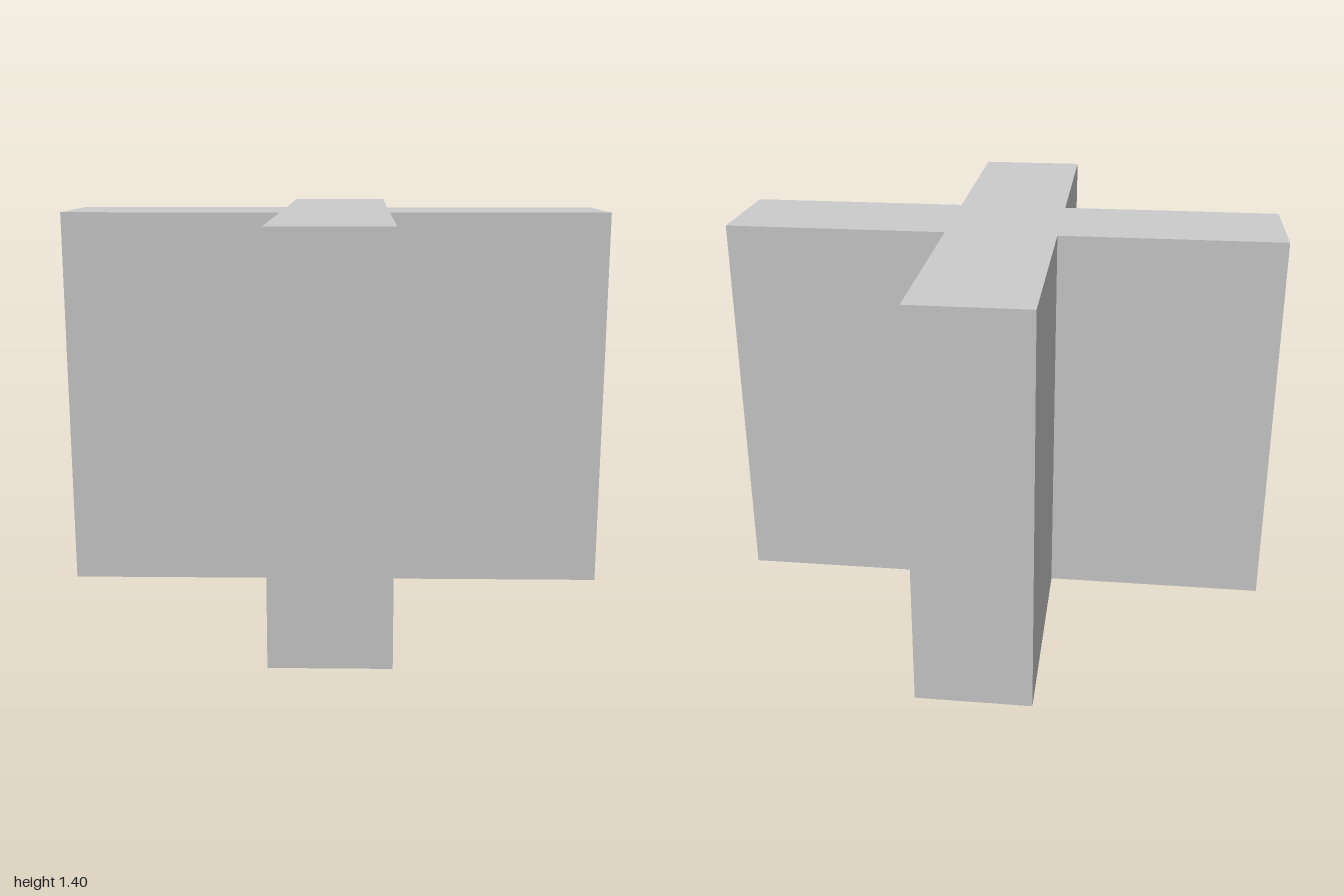
import * as THREE from 'three';

const HEIGHT = 1.4;
const REACH = 1;   // centre to the end of each arm
const HALF = 0.2;  // half the width of an arm

export function createModel() {
  const group = new THREE.Group();
  group.name = 'crossBlock';

  // Plus-shaped outline: three corners per arm, turned a quarter each time
  const arm = [[HALF, -HALF], [REACH, -HALF], [REACH, HALF]];
  const outline = [];
  for (let i = 0; i < 4; i++) {
    for (const [x, y] of arm) {
      outline.push(new THREE.Vector2(x, y).rotateAround(new THREE.Vector2(), i * Math.PI / 2));
    }
  }

  // One solid prism, extruded upwards from the ground
  const geometry = new THREE.ExtrudeGeometry(new THREE.Shape(outline), {
    depth: HEIGHT,
    bevelEnabled: false,
  });
  geometry.rotateX(-Math.PI / 2);

  const cross = new THREE.Mesh(
    geometry,
    new THREE.MeshStandardMaterial({ color: 0xcccccc, flatShading: true }),
  );
  cross.name = 'crossPrism';
  group.add(cross);
  return group;
}
